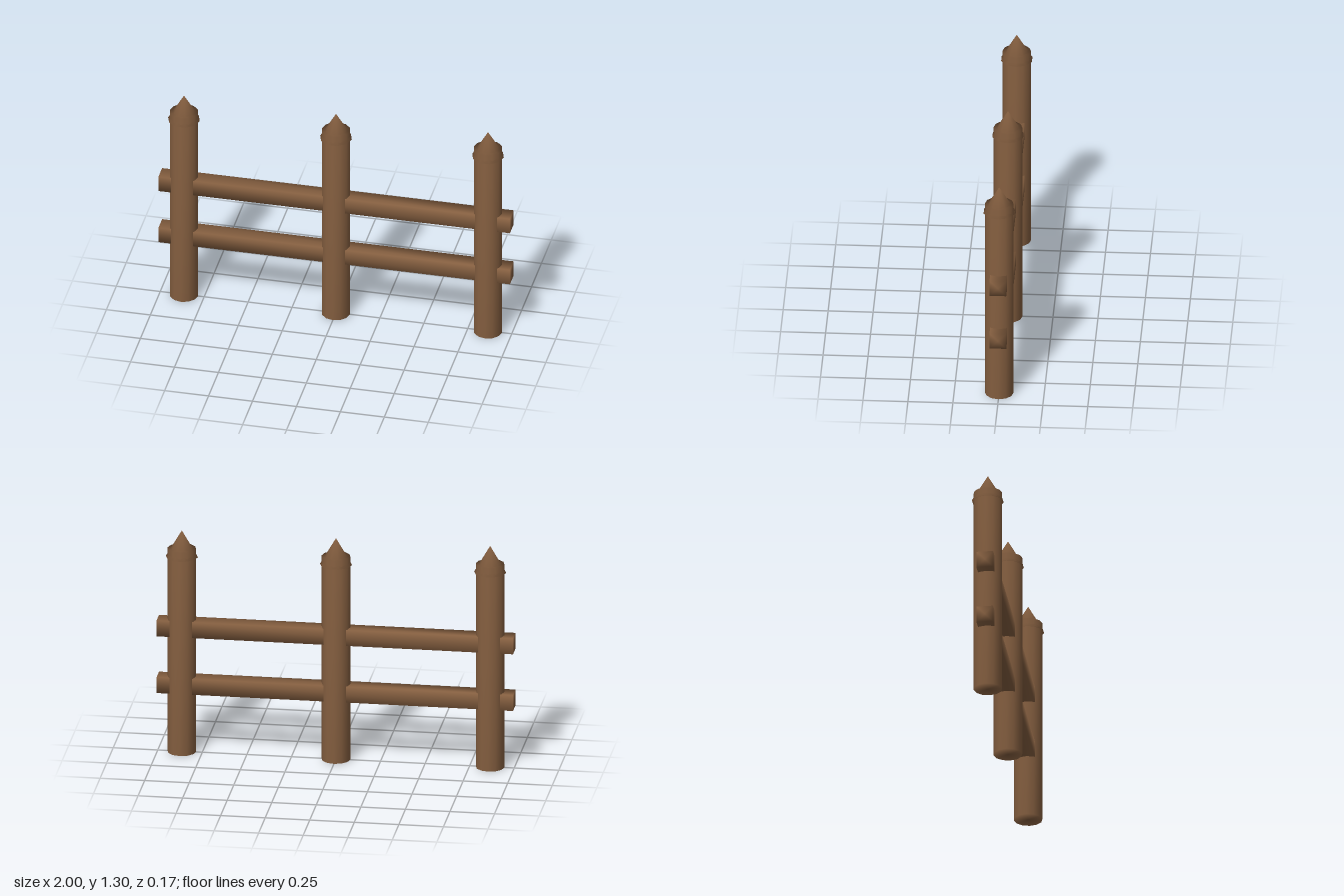
import * as THREE from 'three';
import { mergeVertices } from 'three/addons/utils/BufferGeometryUtils.js';

// Weld a geometry so that shading runs softly over its edges and caps
function soften(geometry) {
  geometry.deleteAttribute('uv');
  geometry.deleteAttribute('normal');
  const welded = mergeVertices(geometry, 1e-4);
  welded.computeVertexNormals();
  return welded;
}

export function createModel() {
  const model = new THREE.Group();
  model.name = 'fence';
  const wood = new THREE.MeshStandardMaterial({ color: 0x855f40 });

  const add = (parent, name, geometry, x, y) => {
    const mesh = new THREE.Mesh(geometry, wood);
    mesh.name = name;
    mesh.position.set(x, y, 0);
    parent.add(mesh);
  };

  // Round posts, each with a pointed cap that overhangs just below the top
  const postHeight = 1.2, capBase = 1.15, capHeight = 0.155;
  const postGeometry = soften(new THREE.CylinderGeometry(0.08, 0.08, postHeight, 12));
  const capGeometry = soften(
    new THREE.ConeGeometry(0.09, capHeight, 10).rotateY(Math.PI / 2));
  const posts = { rightPost: -0.865, middlePost: 0, leftPost: 0.865 };
  for (const [name, x] of Object.entries(posts)) {
    const post = new THREE.Group();
    post.name = name;
    post.position.x = x;
    add(post, 'shaft', postGeometry, 0, postHeight / 2);
    add(post, 'pointedCap', capGeometry, 0, capBase + capHeight / 2);
    model.add(post);
  }

  // Square rails running through all the posts
  const railGeometry = soften(
    new THREE.CylinderGeometry(0.066, 0.066, 2, 4)
      .rotateY(Math.PI / 4)
      .rotateZ(Math.PI / 2));
  add(model, 'lowerRail', railGeometry, 0, 0.4);
  add(model, 'upperRail', railGeometry, 0, 0.735);

  return model;
}
